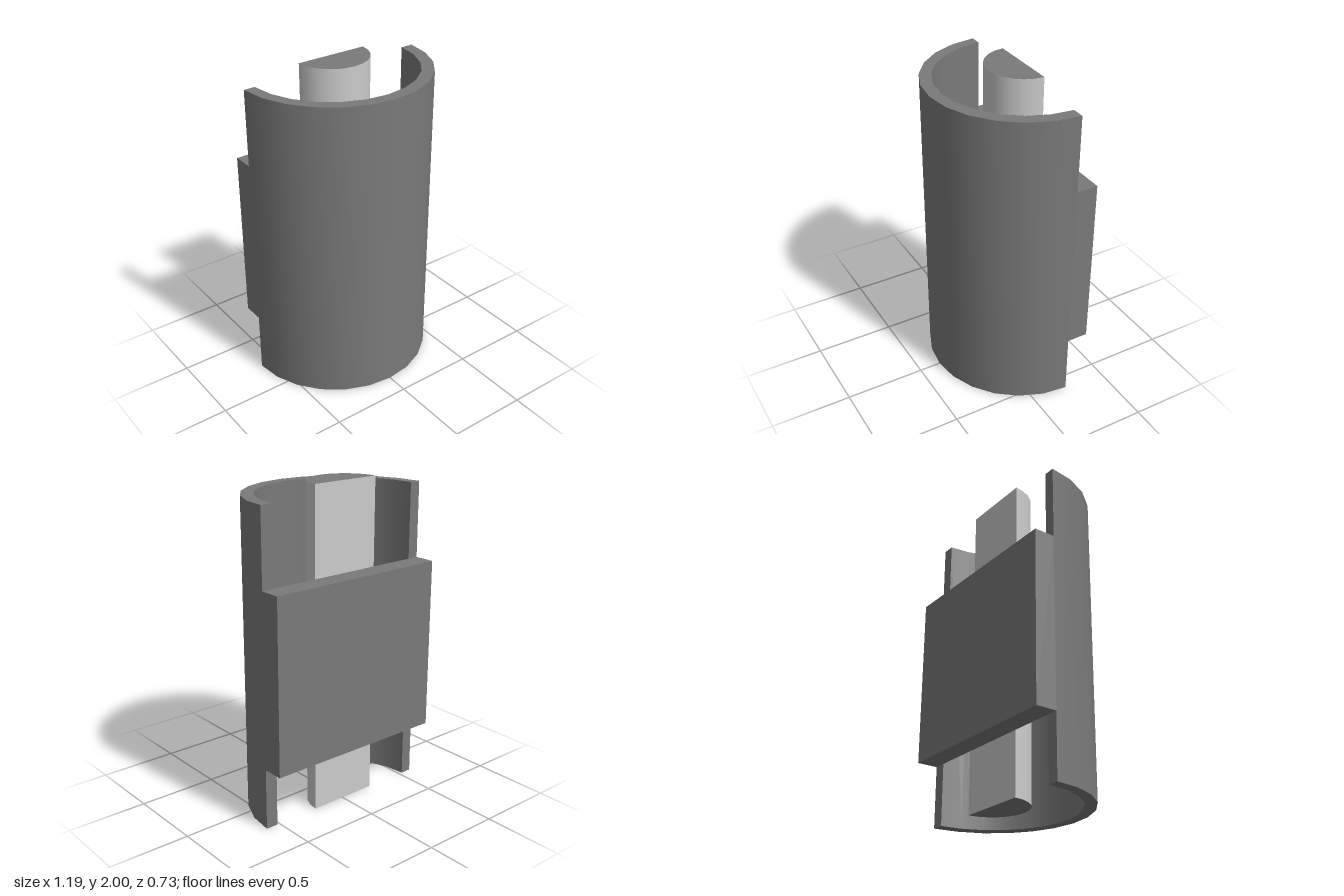
import * as THREE from 'three';
import { toCreasedNormals } from 'three/addons/utils/BufferGeometryUtils.js';

const BACK = -0.232; // z of the flat cut face of the half cylinders

// Extrudes a plan shape upward; the shape's -y becomes +z
function upright(shape, height) {
  const geo = new THREE.ExtrudeGeometry(shape, { depth: height, bevelEnabled: false, curveSegments: 6 });
  geo.rotateX(-Math.PI / 2);
  return toCreasedNormals(geo, Math.PI / 6);
}

function addPart(group, name, geometry, material, x, y, z) {
  const mesh = new THREE.Mesh(geometry, material);
  mesh.name = name;
  mesh.position.set(x, y, z);
  group.add(mesh);
}

export function createModel() {
  const group = new THREE.Group();
  group.name = 'halfCylinderHolder';
  const dark = new THREE.MeshStandardMaterial({ color: 0x7a7a7a });
  const light = new THREE.MeshStandardMaterial({ color: 0xcccccc });

  // Curved half shell, open at top, bottom and back
  const shell = new THREE.Shape();
  shell.absarc(0, 0, 0.594, Math.PI, 2 * Math.PI, false);
  shell.absarc(-0.004, 0, 0.52, 2 * Math.PI, Math.PI, true);
  shell.closePath();
  addPart(group, 'shell', upright(shell, 1.93), dark, 0, 0, BACK);

  // Solid half-round core with dark ends and light sides
  const core = new THREE.Shape();
  core.absarc(0, 0, 0.226, Math.PI, 2 * Math.PI, false);
  core.closePath();
  addPart(group, 'core', upright(core, 2), [dark, light], -0.005, 0, BACK);

  // Flat plate across the back
  const depth = 0.132;
  addPart(group, 'backPlate', new THREE.BoxGeometry(1.188, 1.075, depth), dark, 0, 0.923, BACK - depth / 2);

  return group;
}
